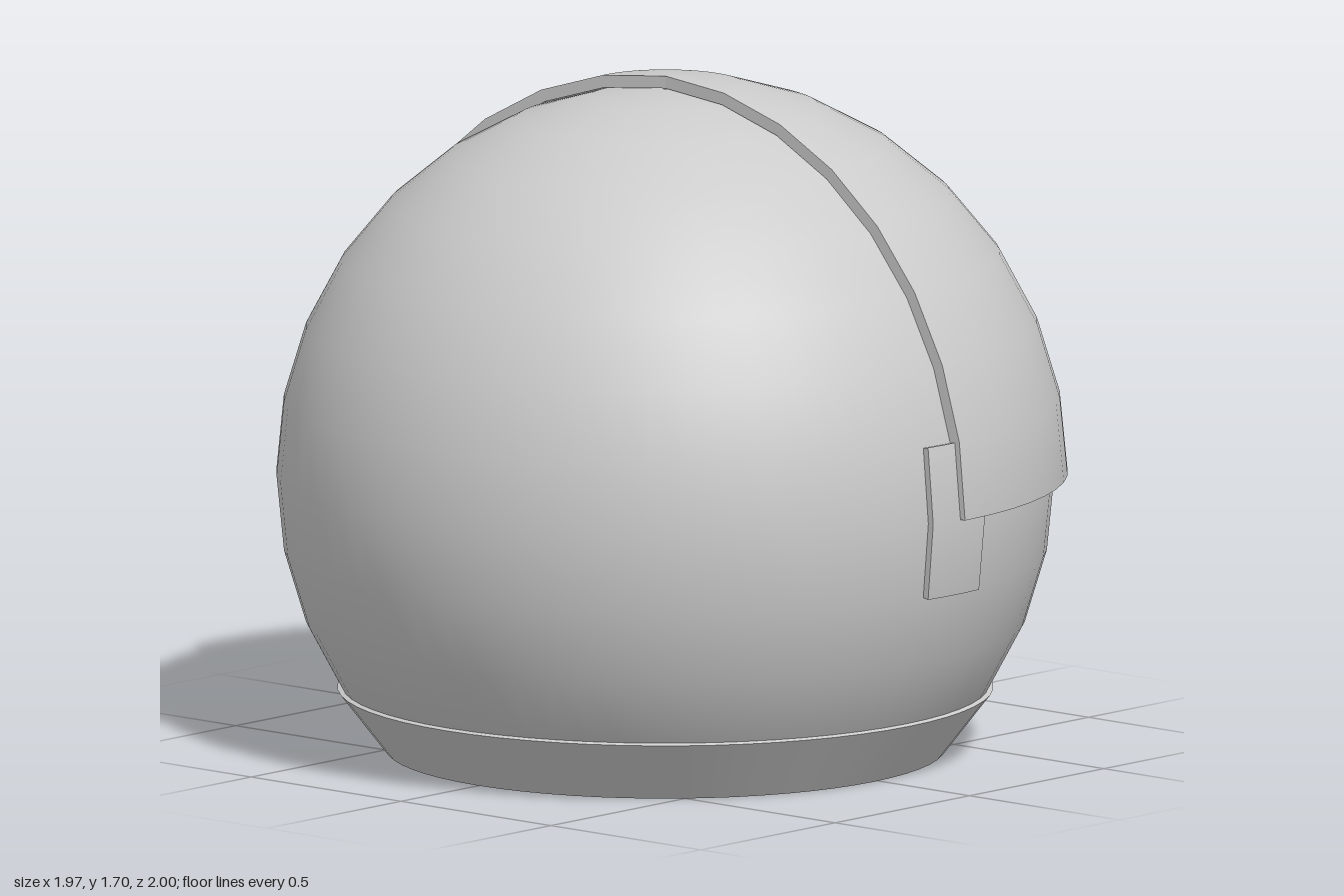
import * as THREE from 'three';
import { mergeGeometries } from 'three/addons/utils/BufferGeometryUtils.js';

const STEP = Math.PI / 32;   // one of 64 segments around
const TILT = Math.PI / 16;   // one of 16 segments from pole to pole
const CENTRE = new THREE.Vector3(-0.0165, 0.697, 0);

const material = new THREE.MeshStandardMaterial({ color: 0xcccccc });

// Turns a surface inside out
function flip(geometry) {
  const index = geometry.index.array;
  for (let i = 0; i < index.length; i += 3) {
    [index[i], index[i + 1]] = [index[i + 1], index[i]];
  }
  geometry.attributes.normal.array.forEach((v, i, a) => { a[i] = -v; });
  return geometry;
}

// Flat quads joining the inner and outer radius along a path of [phi, theta]
function wall(path, rIn, rOut) {
  const at = ([phi, theta], r) => [
    -r * Math.cos(phi) * Math.sin(theta), r * Math.cos(theta), r * Math.sin(phi) * Math.sin(theta)];
  const positions = [];
  for (let i = 0; i < path.length - 1; i++) {
    const a = at(path[i], rOut), b = at(path[i + 1], rOut);
    const c = at(path[i + 1], rIn), d = at(path[i], rIn);
    positions.push(...a, ...d, ...b, ...b, ...d, ...c);
  }
  const geometry = new THREE.BufferGeometry();
  geometry.setAttribute('position', new THREE.Float32BufferAttribute(positions, 3));
  geometry.computeVertexNormals();
  return geometry;
}

// Thick patch of a sphere; start and count are in segments
function shellPatch(rIn, rOut, phiStart, phiCount, thetaStart, thetaCount) {
  const sphere = (r) => new THREE.SphereGeometry(
    r, phiCount, thetaCount, phiStart * STEP, phiCount * STEP, thetaStart * TILT, thetaCount * TILT);
  const rim = [];
  const add = (p, t) => rim.push([(phiStart + p) * STEP, (thetaStart + t) * TILT]);
  // Outline: down the first side, along the bottom, up the other side, back along the top
  for (let t = 0; t < thetaCount; t++) add(0, t);
  for (let p = 0; p < phiCount; p++) add(p, thetaCount);
  for (let t = thetaCount; t > 0; t--) add(phiCount, t);
  if (thetaStart > 0) for (let p = phiCount; p > 0; p--) add(p, 0);
  add(0, 0);
  const parts = [sphere(rOut), flip(sphere(rIn))].map((g) => g.toNonIndexed());
  parts.forEach((g) => g.deleteAttribute('uv'));
  return mergeGeometries([...parts, wall(rim, rIn, rOut)]);
}

export function createModel() {
  const model = new THREE.Group();
  const add = (name, geometry, y = CENTRE.y) => {
    const mesh = new THREE.Mesh(geometry, material);
    mesh.name = name;
    mesh.position.set(CENTRE.x, y, CENTRE.z);
    model.add(mesh);
    return mesh;
  };

  // Hollow spherical body, open at the bottom
  const dome = (r) => new THREE.SphereGeometry(r, 64, 11, 0, Math.PI * 2, 0, 11 * TILT);
  add('helmetShell', mergeGeometries([dome(0.967), flip(dome(0.955))]));

  // Tapered neck ring, each face separate so its edges stay sharp
  const ring = [[0.695, 0], [0.815, 0.155], [0.79, 0.165], [0.675, 0.04]]
    .map(([x, y]) => new THREE.Vector2(x, y));
  add('neckRing', mergeGeometries(ring.map((p, i) =>
    new THREE.LatheGeometry([p, ring[(i + 1) % ring.length]], 64))), 0);

  // Quarter-sphere visor, one segment longer at the back
  add('visor', shellPatch(0.969, 1, 16, 33, 0, 8));

  // Curved hinge plates at both ends of the visor
  add('frontHinge', shellPatch(0.942, 0.985, 15, 2, 7, 2));
  add('backHinge', shellPatch(0.942, 0.985, 48, 2, 7, 2));

  return model;
}
